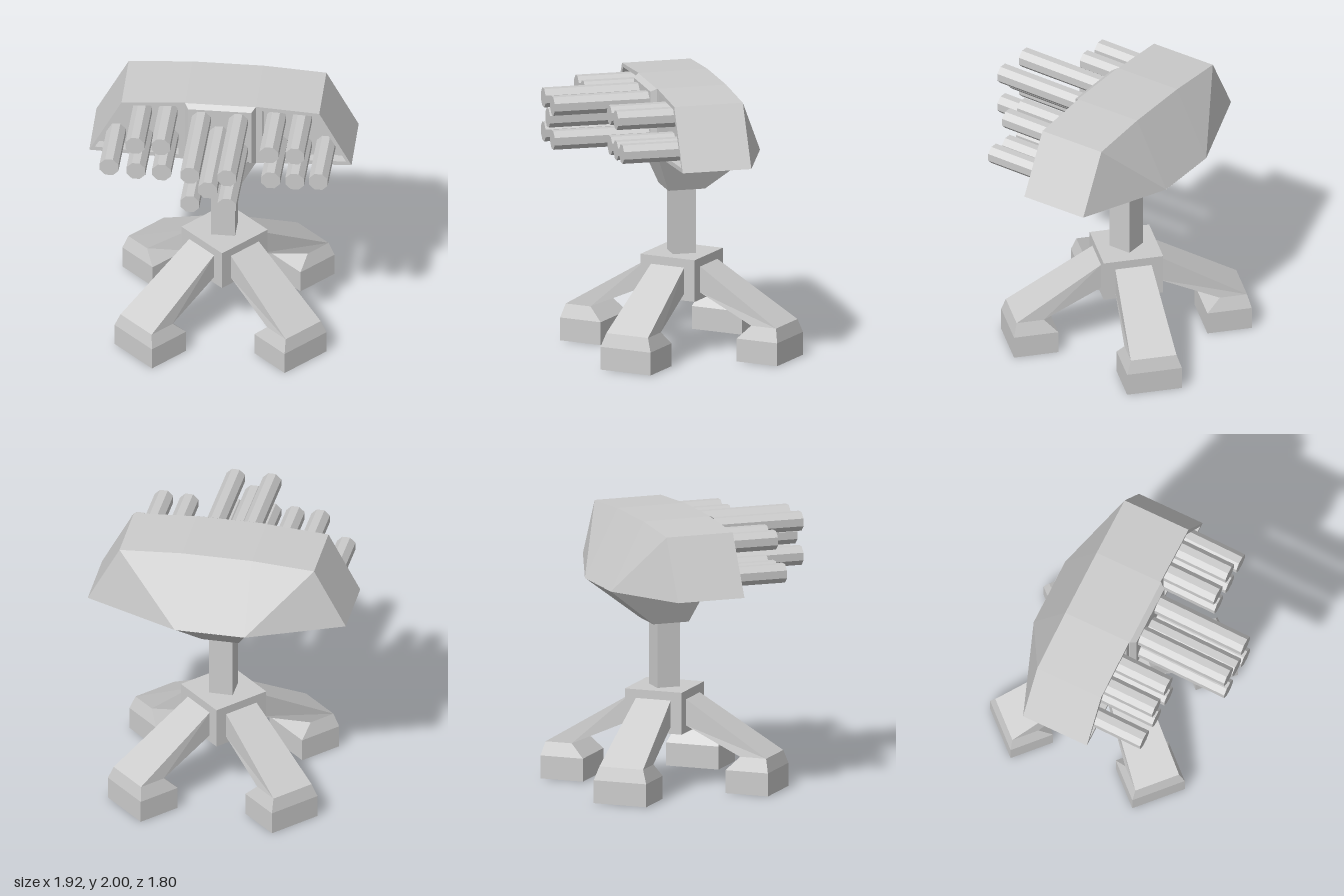
import * as THREE from 'three';

const material = new THREE.MeshStandardMaterial({ color: 0xcccccc, flatShading: true });
const CENTRE_Z = -0.095;

function part(name, geometry, x = 0, y = 0, z = 0) {
  const mesh = new THREE.Mesh(geometry, material);
  mesh.name = name;
  mesh.position.set(x, y, z);
  return mesh;
}

// Capped solid through a series of four-cornered rings, always facing outwards
function loft(rings) {
  const pos = [];
  const quad = (a, b, c, d) => pos.push(...a, ...b, ...c, ...a, ...c, ...d);
  for (let r = 0; r < rings.length - 1; r++) {
    for (let i = 0; i < 4; i++) {
      const j = (i + 1) % 4;
      quad(rings[r][i], rings[r][j], rings[r + 1][j], rings[r + 1][i]);
    }
  }
  const last = rings[rings.length - 1];
  quad(...[...rings[0]].reverse());
  quad(...last);

  // Reverse the winding if the enclosed volume is negative
  const v = [];
  for (let i = 0; i < pos.length; i += 3) v.push(new THREE.Vector3(pos[i], pos[i + 1], pos[i + 2]));
  let volume = 0;
  for (let i = 0; i < v.length; i += 3) volume += v[i].dot(v[i + 1].clone().cross(v[i + 2]));
  if (volume < 0) {
    for (let i = 0; i < v.length; i += 3) [v[i + 1], v[i + 2]] = [v[i + 2], v[i + 1]];
  }
  const geometry = new THREE.BufferGeometry().setFromPoints(v);
  geometry.computeVertexNormals();
  return geometry;
}

// Horizontal rectangle
const flatRing = (y, halfX, zBack, zFront) => [
  [-halfX, y, zBack], [halfX, y, zBack], [halfX, y, zFront], [-halfX, y, zFront],
];

function createBase() {
  const base = new THREE.Group();
  base.name = 'base';
  base.position.set(0.003, 0, CENTRE_Z);
  base.rotation.y = THREE.MathUtils.degToRad(48.5);

  base.add(part('hub', new THREE.BoxGeometry(0.443, 0.31, 0.443), 0, 0.565, 0));

  // Foot block, bevelled foot top, then the sloping leg up to the hub
  const legGeometry = loft([
    flatRing(0, 0.204, 0.555, 0.885),
    flatRing(0.17, 0.204, 0.555, 0.885),
    flatRing(0.27, 0.17, 0.655, 0.858),
    [[-0.135, 0.465, 0.215], [0.135, 0.465, 0.215], [0.135, 0.66, 0.215], [-0.135, 0.66, 0.215]],
  ]);
  for (let i = 0; i < 4; i++) {
    const leg = part('leg', legGeometry);
    leg.rotation.y = i * Math.PI / 2;
    base.add(leg);
  }
  return base;
}

function createHead() {
  const head = new THREE.Group();
  head.name = 'launcherHead';
  head.rotation.y = 0.019;

  // Neck flaring from the column to the underside of the head
  head.add(part('neck', loft([
    flatRing(1.205, 0.135, -0.235, 0.04),
    flatRing(1.502, 0.258, -0.615, 0.155),
  ])));

  // Centre section with a bevelled front
  const face = (halfX, top, bottom, z, zLow = z) => [
    [-halfX, top, z], [halfX, top, z], [halfX, bottom, zLow], [-halfX, bottom, zLow],
  ];
  head.add(part('centreSection', loft([
    face(0.258, 2, 1.5, -0.36, -0.615),
    face(0.258, 2, 1.5, 0.16),
    face(0.23, 1.975, 1.53, 0.2),
  ])));

  // Wings with a framed, recessed front panel
  const outer = [[0.258, 2], [0.72, 1.97], [0.955, 1.53], [0.258, 1.5]];
  const inner = [[0.305, 1.965], [0.69, 1.945], [0.915, 1.56], [0.305, 1.535]];
  for (const side of [-1, 1]) {
    const ring = (points, z) => points.map(([x, y]) => [side * x, y, z]);
    const rear = ring(outer, -0.36);
    rear[3][2] = -0.615;
    head.add(part(side > 0 ? 'leftWing' : 'rightWing', loft([
      rear, ring(outer, 0.155), ring(inner, 0.155), ring(inner, 0.08),
    ])));
  }
  return head;
}

// Eight-sided launch tubes between two depths
function addTubes(group, name, spots, zStart, zEnd) {
  const geometry = new THREE.CylinderGeometry(0.074, 0.074, zEnd - zStart, 8);
  geometry.rotateY(Math.PI / 8);
  geometry.rotateX(Math.PI / 2);
  for (const [x, y] of spots) group.add(part(name, geometry, x, y, (zStart + zEnd) / 2));
}

export function createModel() {
  const model = new THREE.Group();
  model.name = 'launcherTurret';

  model.add(createBase());
  model.add(part('column', new THREE.BoxGeometry(0.174, 0.52, 0.174), 0.003, 0.97, CENTRE_Z));
  model.add(createHead());

  const tubes = new THREE.Group();
  tubes.name = 'launchTubes';
  addTubes(tubes, 'centreTube',
    [[-0.13, 1.89], [0.14, 1.89], [0, 1.77], [-0.13, 1.637], [0.14, 1.637]], 0.15, 0.905);
  addTubes(tubes, 'rightTube',
    [[-0.573, 1.862], [-0.386, 1.865], [-0.763, 1.655], [-0.567, 1.638], [-0.38, 1.64]], 0.05, 0.545);
  addTubes(tubes, 'leftTube',
    [[0.404, 1.862], [0.592, 1.867], [0.765, 1.655], [0.592, 1.642], [0.416, 1.639]], 0.05, 0.545);
  model.add(tubes);

  return model;
}
